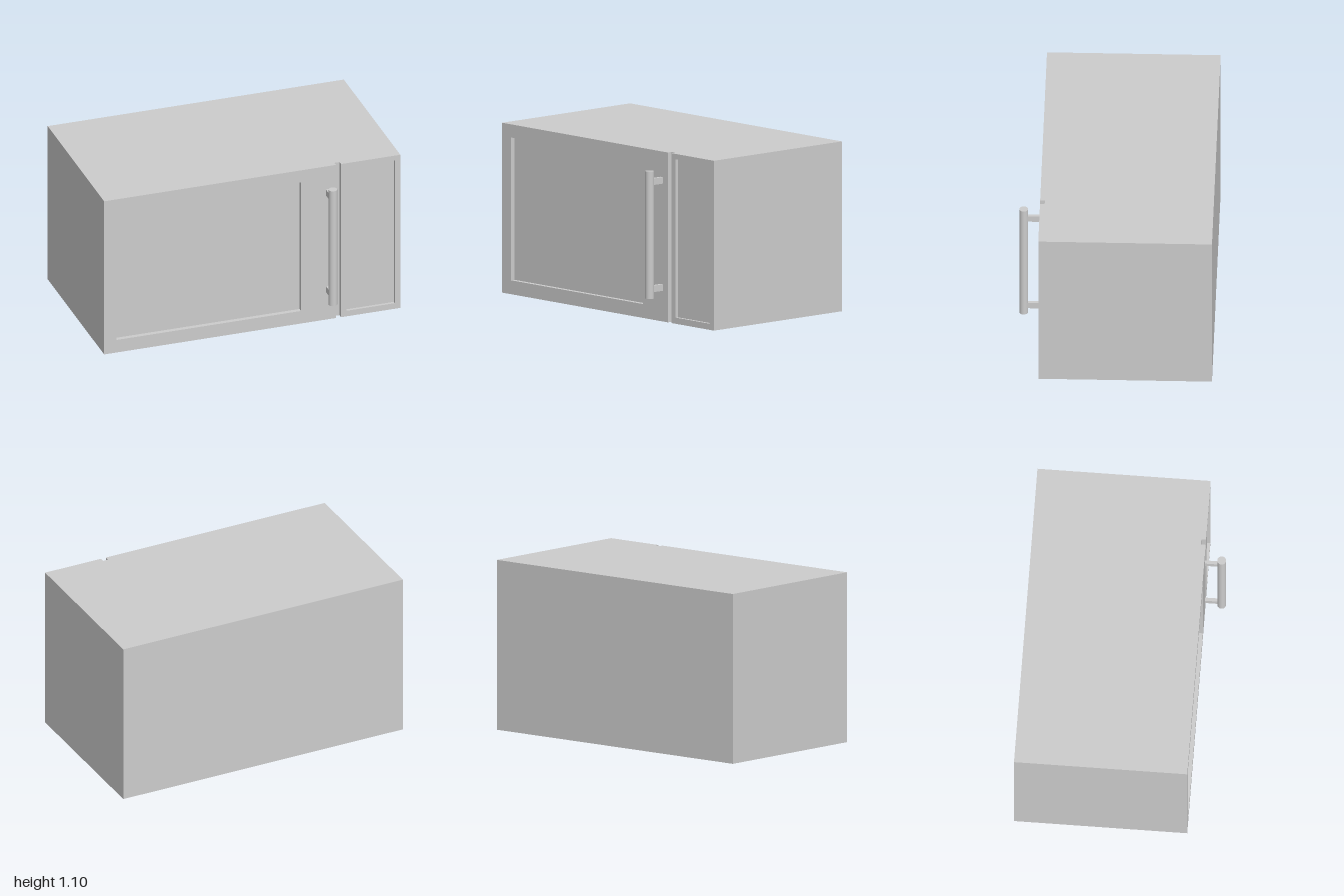
import * as THREE from 'three';

const material = new THREE.MeshStandardMaterial({ color: 0xcccccc });

const FRONT = 0.49;   // front face of door and control panel
const BACK = -0.62;
const HEIGHT = 1.1;
const FRAME = 0.03;   // thickness of the front frames

function add(group, name, geometry, x = 0, y = 0, z = 0) {
  const mesh = new THREE.Mesh(geometry, material);
  mesh.name = name;
  mesh.position.set(x, y, z);
  group.add(mesh);
  return mesh;
}

// Box given by its limits on each axis
function addBox(group, name, [x0, x1], [y0, y1], [z0, z1]) {
  return add(group, name, new THREE.BoxGeometry(x1 - x0, y1 - y0, z1 - z0),
    (x0 + x1) / 2, (y0 + y1) / 2, (z0 + z1) / 2);
}

function trace(path, [x0, x1], [y0, y1]) {
  path.moveTo(x0, y0);
  path.lineTo(x1, y0);
  path.lineTo(x1, y1);
  path.lineTo(x0, y1);
  path.closePath();
  return path;
}

// Flat rectangular frame with a rectangular opening
function addFrame(group, name, outerX, openX, openY) {
  const shape = trace(new THREE.Shape(), outerX, [0, HEIGHT]);
  shape.holes.push(trace(new THREE.Path(), openX, openY));
  const geometry = new THREE.ExtrudeGeometry(shape, { depth: FRAME, bevelEnabled: false });
  add(group, name, geometry, 0, 0, FRONT - FRAME);
}

export function createModel() {
  const model = new THREE.Group();
  model.name = 'microwaveOven';

  // Cabinet; its front face is the floor of the window and the groove
  addBox(model, 'cabinet', [-1, 1], [0, HEIGHT], [BACK, FRONT - FRAME]);

  // Door and control panel, separated by a narrow groove
  addFrame(model, 'doorFrame', [-1, 0.565], [-0.917, 0.33], [0.09, 1.015]);
  addFrame(model, 'controlPanelFrame', [0.6, 1], [0.637, 0.963], [0.04, 1.065]);
  addBox(model, 'controlPanel', [0.637, 0.963], [0.04, 1.065], [FRONT - FRAME, FRONT - 0.02]);

  // Door handle on two brackets
  const handle = new THREE.Group();
  handle.name = 'doorHandle';
  add(handle, 'handleBar', new THREE.CylinderGeometry(0.028, 0.028, 0.825, 32), 0.508, 0.573, 0.597);
  for (const y of [0.22, 0.914]) {
    addBox(handle, 'handleBracket', [0.497, 0.519], [y - 0.021, y + 0.021], [FRONT, 0.58]);
  }
  model.add(handle);

  return model;
}
